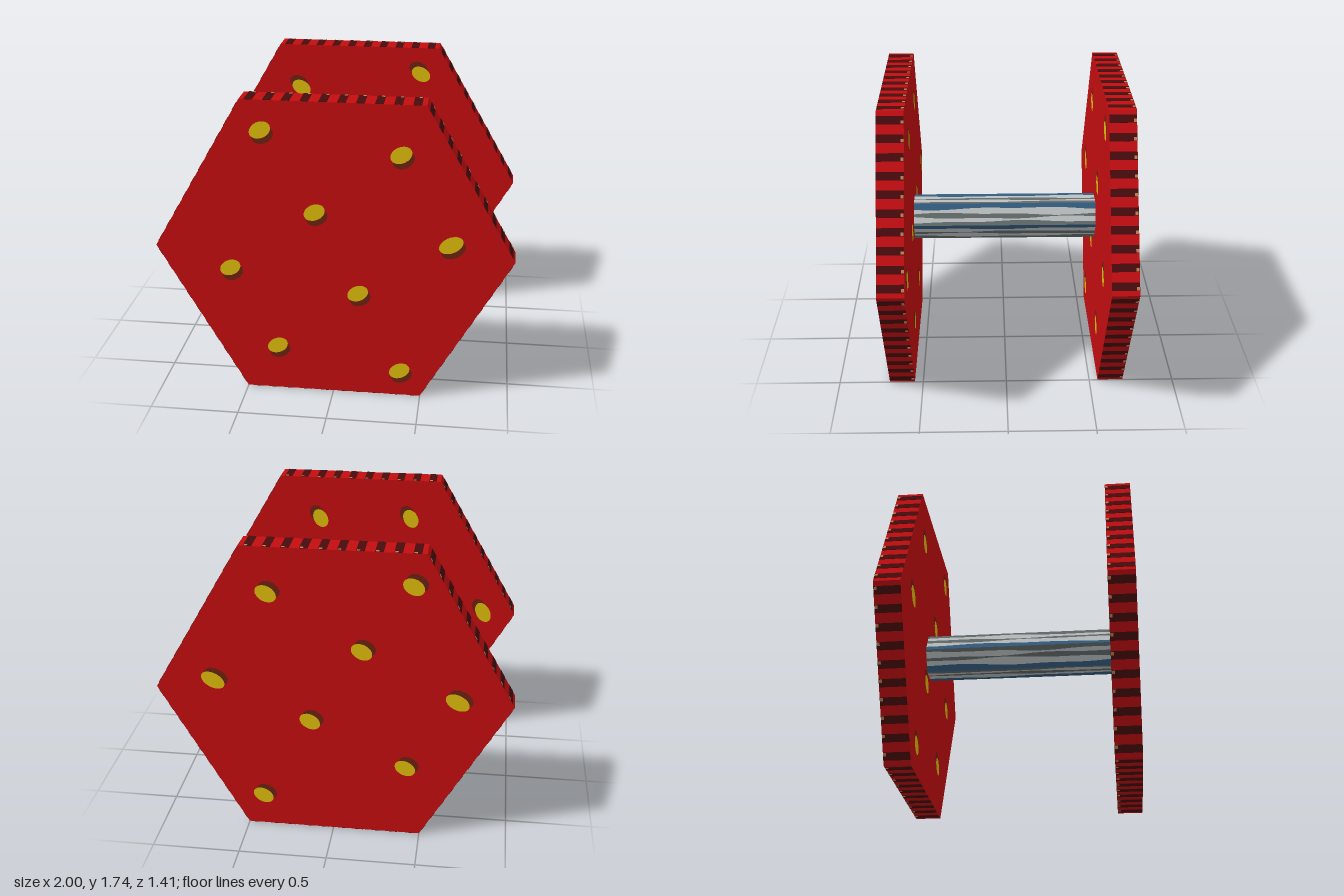
import * as THREE from 'three';

const mat = (name, color) => {
  const m = new THREE.MeshStandardMaterial({ color });
  m.name = name;
  return m;
};

export function createModel() {
  const red = mat('red', 0xc20d10), maroon = mat('dark maroon', 0x480b0d);
  const yellow = mat('yellow', 0xdcba0c), brown = mat('brown', 0x6b2010), tan = mat('tan', 0xc08050);
  const pale = mat('light grey', 0xbcc0c0), grey = mat('dark grey', 0x616a6a), blue = mat('steel blue', 0x345c80);

  const model = new THREE.Group();
  model.name = 'hexagonalSpool';
  const CY = 0.866, APOTHEM = Math.sqrt(3) / 2, THICK = 0.15, PLATE_Z = 0.625;

  const add = (parent, name, geometry, material, x = 0, y = 0, z = 0) => {
    const mesh = new THREE.Mesh(geometry, material);
    mesh.name = name;
    mesh.position.set(x, y, z);
    parent.add(mesh);
    return mesh;
  };

  // Hexagonal end plate with flat sides
  const plateGeo = new THREE.CylinderGeometry(1, 1, THICK, 6)
    .rotateY(Math.PI / 6).rotateX(Math.PI / 2).toNonIndexed();
  plateGeo.computeVertexNormals();
  const stripeGeo = new THREE.BoxGeometry(0.045, 0.004, THICK - 0.001);
  const speckGeo = new THREE.BoxGeometry(0.018, 0.004, 0.016);

  // Spot layouts per face, as seen looking straight at that face
  const outerFront = [[-0.39, 0.7], [0.37, 0.59], [-0.1, 0.24], [0.65, 0.085],
    [-0.58, -0.115], [0.14, -0.235], [-0.32, -0.59], [0.38, -0.71]];
  const innerBack = outerFront.map(([x, y]) => [-x, y]);
  const outerBack = [[-0.36, 0.6], [0.435, 0.68], [-0.675, 0.06], [0.16, 0.285],
    [-0.13, -0.165], [0.69, 0.01], [-0.41, -0.675], [0.41, -0.43]];
  const innerFront = [[-0.25, 0.6], [0.32, 0.62], [-0.25, 0.01], [0.264, 0.026],
    [-0.79, -0.01], [0.8, 0.007], [-0.32, -0.55], [0.21, -0.55]];
  const discGeo = new THREE.CircleGeometry(1, 20);

  // Painted spots: a brown crescent showing from under a yellow oval
  function addSpots(plate, name, spots, back, tilt, dx, dy) {
    const face = new THREE.Group();
    face.name = name;
    face.rotation.y = back ? Math.PI : 0;
    for (const [x, y] of spots) {
      const wide = Math.abs(x) > 0.6 ? 1.15 : 1;
      const oval = (label, m, ox, oy, z) => {
        const mesh = add(face, label, discGeo, m, x + ox, y + oy, THICK / 2 + z);
        mesh.scale.set(0.062 * wide, 0.045, 1);
        mesh.rotation.z = tilt;
      };
      oval('spotShade', brown, dx, dy, 0.002);
      oval('spot', yellow, 0, 0, 0.004);
    }
    plate.add(face);
  }

  function makePlate(name, z) {
    const plate = new THREE.Group();
    plate.name = name;
    plate.position.set(0, CY, z);
    add(plate, 'plateBody', plateGeo, red);
    // Ten dark stripes on each of the six rim sides
    for (let side = 0; side < 6; side++) {
      const rim = new THREE.Group();
      rim.name = 'rimSide';
      rim.rotation.z = side * Math.PI / 3;
      for (let i = 0; i < 10; i++) {
        const x = -0.45 + i * 0.1;
        add(rim, 'rimStripe', stripeGeo, maroon, x, APOTHEM, 0);
        add(rim, 'rimSpeck', speckGeo, tan, x + 0.01, APOTHEM + 0.001, -THICK / 2 + 0.01);
      }
      plate.add(rim);
    }
    model.add(plate);
    return plate;
  }

  const front = makePlate('frontPlate', PLATE_Z);
  addSpots(front, 'frontPlateOuterSpots', outerFront, false, 0.5, 0.014, -0.03);
  addSpots(front, 'frontPlateInnerSpots', innerFront, true, -1.1, -0.02, 0.025);
  const rear = makePlate('backPlate', -PLATE_Z);
  addSpots(rear, 'backPlateOuterSpots', outerBack, true, -0.5, 0.02, 0.025);
  addSpots(rear, 'backPlateInnerSpots', innerBack, false, -0.5, -0.014, 0.03);

  // Hexagonal axle: every side is cut into wavy streaks running along z
  const R = 0.135, HALF = 0.55, STEPS = 24;
  const cuts = [0, 0.17, 0.36, 0.52, 0.76, 1];
  const streaks = [grey, pale, grey, pale, blue];
  const wave = (side, i, z) => (i === 0 || i === 5) ? cuts[i]
    : cuts[i] + 0.045 * Math.sin(5 * z + 2.1 * i + 1.7 * side) + 0.025 * Math.sin(13 * z + i * 3 + side);
  const axle = new THREE.Group();
  axle.name = 'axle';
  axle.position.set(-0.06, 0.833, 0);
  for (let side = 0; side < 6; side++) {
    const a = side * Math.PI / 3, b = a + Math.PI / 3;
    const point = (u, z) => [
      R * (Math.cos(a) * (1 - u) + Math.cos(b) * u),
      R * (Math.sin(a) * (1 - u) + Math.sin(b) * u), z];
    streaks.forEach((material, i) => {
      const pos = [];
      for (let s = 0; s < STEPS; s++) {
        const z0 = -HALF + 2 * HALF * s / STEPS, z1 = -HALF + 2 * HALF * (s + 1) / STEPS;
        const p = point(wave(side, i, z0), z0), q = point(wave(side, i + 1, z0), z0);
        const r = point(wave(side, i + 1, z1), z1), t = point(wave(side, i, z1), z1);
        pos.push(...p, ...q, ...r, ...p, ...r, ...t);
      }
      const g = new THREE.BufferGeometry();
      g.setAttribute('position', new THREE.Float32BufferAttribute(pos, 3));
      g.computeVertexNormals();
      add(axle, 'axleStreak', g, material);
    });
  }
  model.add(axle);
  return model;
}
